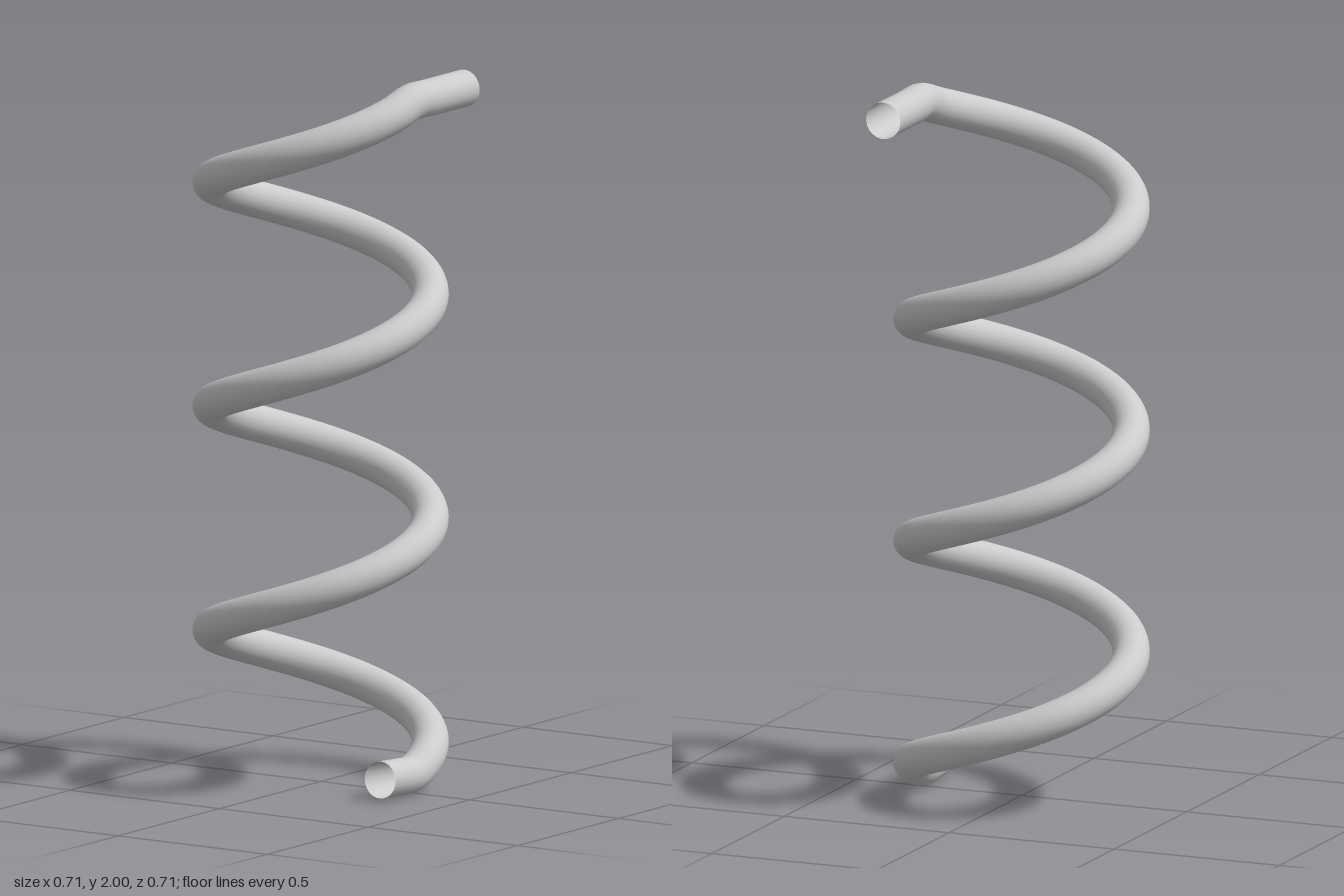
import * as THREE from 'three';

const R = 0.304, WIRE = 0.052, TURNS = 3, Y0 = 0.053, Y1 = 1.948, STEPS = 24;

export function createModel() {
  const group = new THREE.Group();
  group.name = 'spring';

  // lower straight leg
  const points = [
    new THREE.Vector3(R, 0.059, 0.153),
    new THREE.Vector3(R, 0.054, 0.07),
  ];
  // helical coils
  for (let i = 0; i <= TURNS * STEPS; i++) {
    const a = (i / STEPS) * Math.PI * 2;
    const y = Y0 + (Y1 - Y0) * i / (TURNS * STEPS);
    points.push(new THREE.Vector3(R * Math.cos(a), y, -R * Math.sin(a)));
  }
  // upper straight leg
  points.push(new THREE.Vector3(R, Y1, -0.08), new THREE.Vector3(R, Y1, -0.262));

  const path = new THREE.CatmullRomCurve3(points);
  path.arcLengthDivisions = 1200;

  // open-ended round wire
  const wire = new THREE.Mesh(
    new THREE.TubeGeometry(path, 260, WIRE, 24, false),
    new THREE.MeshStandardMaterial({ color: 0xcccccc, side: THREE.DoubleSide })
  );
  wire.name = 'coilWire';
  group.add(wire);
  return group;
}
